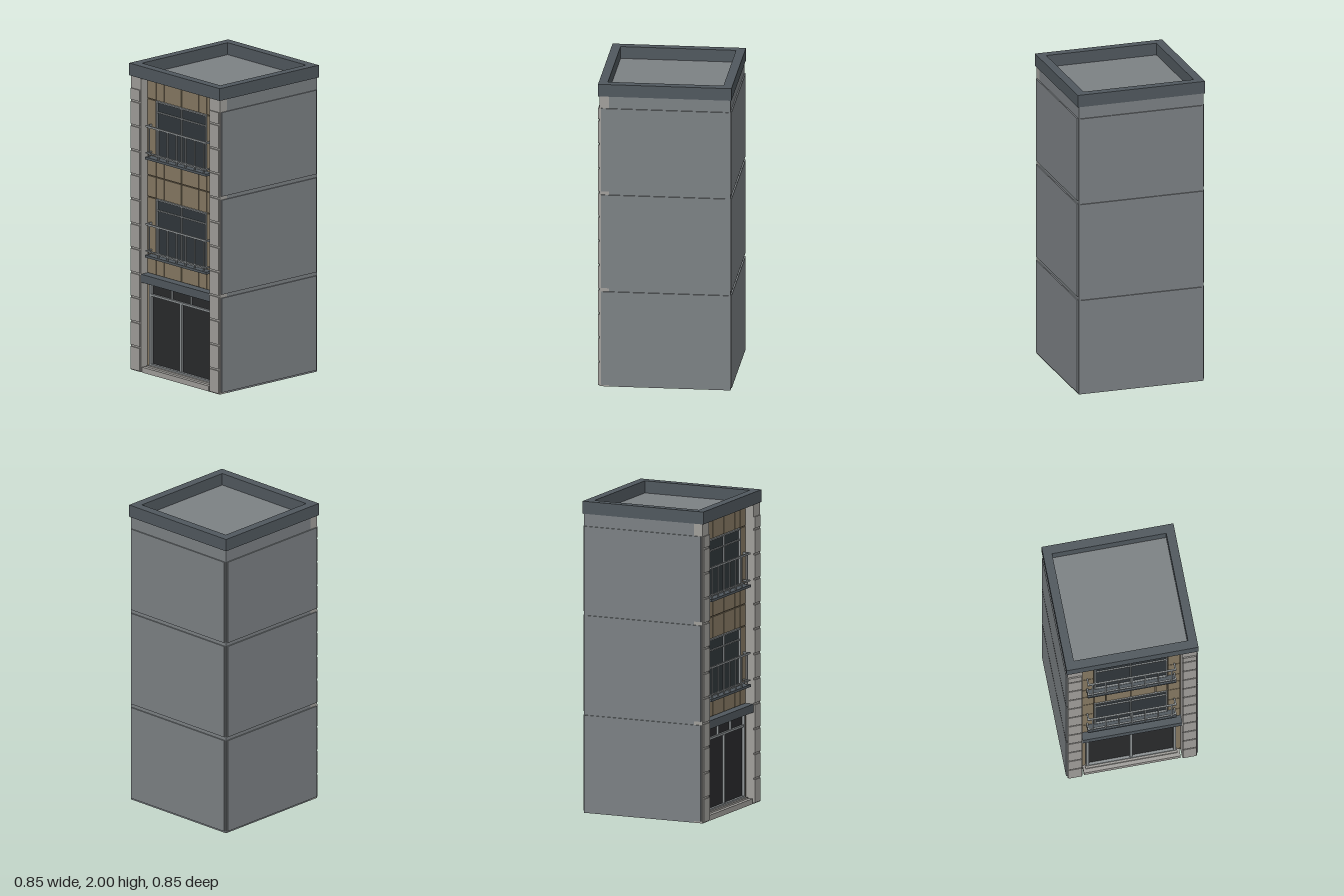
import * as THREE from 'three';

const mat = (color) => new THREE.MeshStandardMaterial({ color });
const M = {
  trim: mat(0x50585e), wall: mat(0x7c8184), stone: mat(0xa19f9b), tile: mat(0x867962),
  grout: mat(0x6a5f4d), glass: mat(0x30373b), doorGlass: mat(0x292a2c), metal: mat(0x8d9294),
};

// Box given by its extents on each axis
function box(parent, name, material, x0, x1, y0, y1, z0, z1) {
  const mesh = new THREE.Mesh(new THREE.BoxGeometry(x1 - x0, y1 - y0, z1 - z0), material);
  mesh.position.set((x0 + x1) / 2, (y0 + y1) / 2, (z0 + z1) / 2);
  mesh.name = name;
  parent.add(mesh);
  return mesh;
}

function group(parent, name) {
  const g = new THREE.Group();
  g.name = name;
  parent.add(g);
  return g;
}

const B = 0.415;     // half width of the body
const P = 0.423;     // outer face of the raised panels and parapet
const WALL = 0.355;  // recessed front wall
const FACE = 0.363;  // face of the wall tiles
const TOP = 1.92;
const BAY = 0.32;    // half width of the recessed bay

// Rectangular frame of thin bars
function frame(parent, name, hw, y0, y1, t, z0, z1) {
  for (const s of [-1, 1]) {
    const a = s * hw, b = s * (hw - t);
    box(parent, name, M.metal, Math.min(a, b), Math.max(a, b), y0, y1, z0, z1);
  }
  box(parent, name, M.metal, -hw + t, hw - t, y0, y0 + t, z0, z1);
  box(parent, name, M.metal, -hw + t, hw - t, y1 - t, y1, z0, z1);
}

function addWindow(parent, y) {
  const g = group(parent, 'window');
  const z = 0.37;
  box(g, 'windowGlass', M.glass, -0.23, 0.23, y + 0.005, y + 0.365, WALL - 0.01, WALL + 0.003);
  frame(g, 'windowFrame', 0.235, y, y + 0.37, 0.009, WALL, z);
  box(g, 'windowMullion', M.metal, -0.004, 0.004, y + 0.009, y + 0.361, WALL, z - 0.002);
  box(g, 'windowTransom', M.metal, -0.226, 0.226, y + 0.292, y + 0.3, WALL, z - 0.003);
}

function addBalcony(parent, y) {
  const g = group(parent, 'balcony');
  const front = 0.411;
  box(g, 'balconySlab', M.trim, -0.285, 0.285, y - 0.013, y + 0.003, WALL, 0.415);
  // front rails and their returns to the wall
  for (const [r, t] of [[0.025, 0.008], [0.197, 0.012]]) {
    box(g, 'railing', M.metal, -0.285, 0.285, y + r, y + r + t, front - 0.011, front);
    for (const s of [-1, 1])
      box(g, 'railingReturn', M.metal, s * 0.279 - 0.005, s * 0.279 + 0.005, y + r, y + r + t, WALL, front - 0.011);
  }
  for (let i = -3; i <= 3; i++) {
    const x = i * 0.0845;
    box(g, 'baluster', M.metal, x - 0.004, x + 0.004, y + 0.003, y + 0.2, front - 0.009, front - 0.002);
  }
}

export function createModel() {
  const model = new THREE.Group();
  model.name = 'building';

  // Core with a recessed front bay between two pilasters
  box(model, 'body', M.wall, -B, B, 0, TOP, -B, WALL);
  box(model, 'bayBacking', M.grout, -BAY, BAY, 0, TOP, WALL - 0.01, WALL + 0.001);
  for (const s of [-1, 1]) {
    const c = s * (BAY + B) / 2, h = (B - BAY) / 2;
    box(model, 'pilaster', M.stone, c - h, c + h, 0, TOP, WALL, B);
    // raised stone courses, the topmost half height
    for (let i = 0; i < 12; i++)
      box(model, 'pilasterBlock', M.stone, c - h + 0.005, c + h - 0.005,
        i * 0.16 + 0.006, Math.min((i + 1) * 0.16 - 0.006, 1.84), B, P);
  }

  // Raised cladding panels on both sides and the back
  for (let i = 0; i < 3; i++) {
    const y0 = i * 0.64 + 0.012, y1 = Math.min((i + 1) * 0.64 - 0.012, 1.84);
    for (const s of [-1, 1]) {
      const c = s * (B + P) / 2, h = (P - B) / 2;
      box(model, 'sidePanel', M.wall, c - h, c + h, y0, y1, -0.405, 0.405);
    }
    box(model, 'backPanel', M.wall, -0.405, 0.405, y0, y1, -P, -B);
  }

  // Wall tiles, left out where the windows sit
  const tiles = group(model, 'wallTiles');
  const xs = [-0.32, -0.235, -0.16, 0, 0.16, 0.235, 0.32];
  const ys = [0.64, 0.77, 0.96, 1.14, 1.28, 1.41, 1.6, 1.78, 1.92];
  const g = 0.003;
  for (let r = 0; r < ys.length - 1; r++)
    for (let c = 0; c < xs.length - 1; c++) {
      const windowRow = r === 1 || r === 2 || r === 5 || r === 6;
      if (windowRow && c > 0 && c < 5) continue;
      box(tiles, 'wallTile', M.tile, xs[c] + g, xs[c + 1] - g, ys[r] + g, ys[r + 1] - g, WALL, FACE);
    }
  for (const s of [-1, 1])
    box(tiles, 'doorSideTile', M.tile, s * 0.304 - 0.014, s * 0.304 + 0.014, 0.035, 0.59, WALL, FACE);

  // Upper floors
  for (const y of [0.77, 1.41]) {
    addWindow(model, y);
    addBalcony(model, y);
  }

  // Entrance with sliding doors, transom lights, step and canopy
  const door = group(model, 'entrance');
  box(door, 'doorGlass', M.doorGlass, -0.28, 0.28, 0.045, 0.585, WALL - 0.01, WALL + 0.003);
  frame(door, 'doorFrame', 0.288, 0.04, 0.587, 0.016, WALL, 0.376);
  box(door, 'doorTransom', M.metal, -0.272, 0.272, 0.498, 0.512, WALL, 0.373);
  box(door, 'doorMeetingStile', M.metal, -0.008, 0.008, 0.056, 0.498, WALL, 0.371);
  for (const x of [-0.09, 0.09])
    box(door, 'transomBar', M.metal, x - 0.004, x + 0.004, 0.512, 0.571, WALL, 0.371);
  box(door, 'step', M.stone, -0.31, 0.31, 0, 0.035, WALL, 0.415);
  box(door, 'threshold', M.stone, -0.295, 0.295, 0.035, 0.046, WALL, 0.39);
  box(model, 'canopy', M.trim, -BAY, BAY, 0.587, 0.64, WALL, 0.415);

  // Parapet ring around the flat roof
  const ring = new THREE.Shape();
  ring.moveTo(-P, -P).lineTo(P, -P).lineTo(P, P).lineTo(-P, P).closePath();
  const hole = new THREE.Path();
  const I = 0.366;
  hole.moveTo(-I, -I).lineTo(-I, I).lineTo(I, I).lineTo(I, -I).closePath();
  ring.holes.push(hole);
  const parapet = new THREE.Mesh(
    new THREE.ExtrudeGeometry(ring, { depth: 2 - TOP, bevelEnabled: false }), M.trim);
  parapet.rotation.x = -Math.PI / 2;
  parapet.position.y = TOP;
  parapet.name = 'parapet';
  model.add(parapet);
  box(model, 'roof', M.wall, -I, I, TOP - 0.02, TOP + 0.002, -I, I);

  return model;
}
